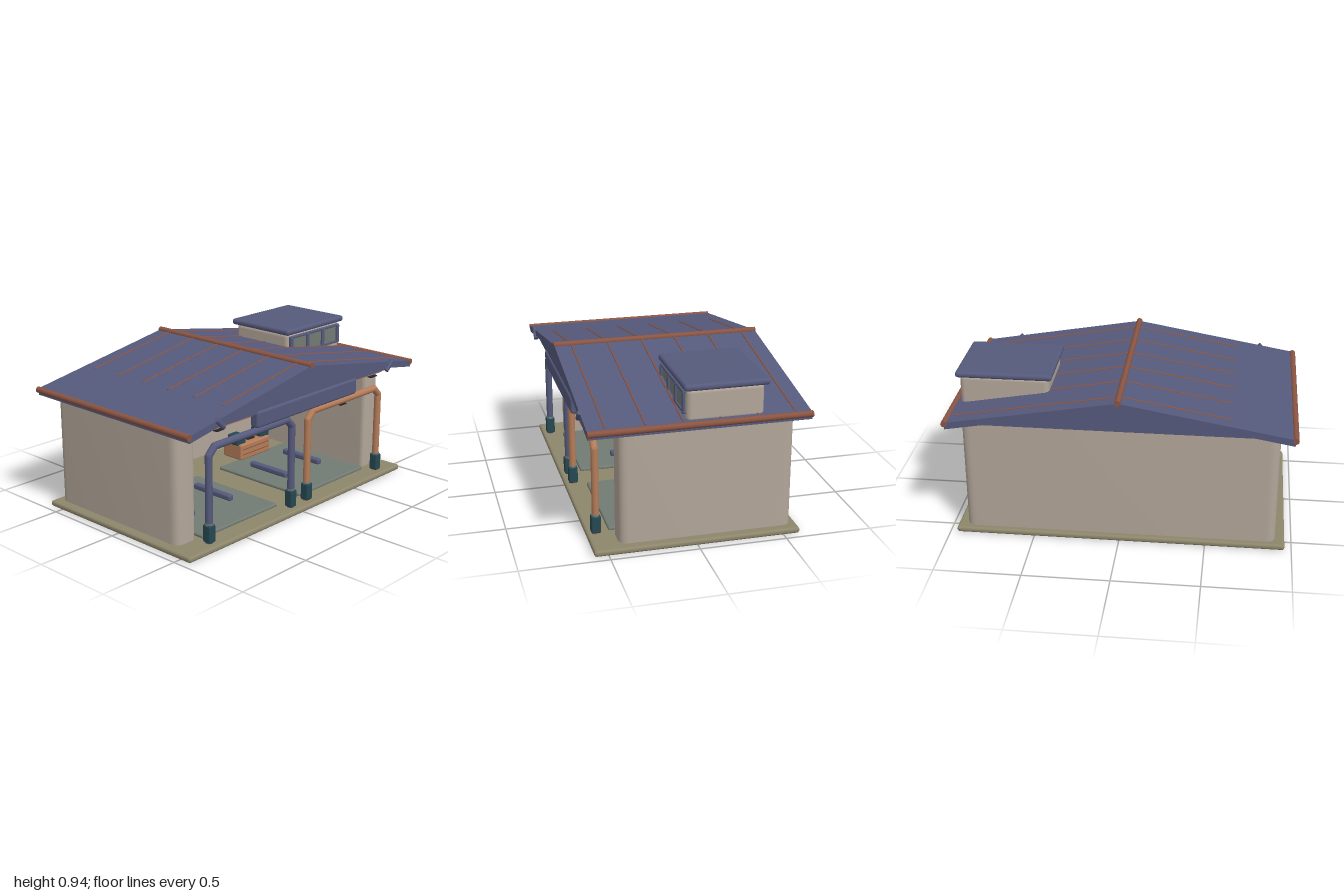
import * as THREE from 'three';
import { toCreasedNormals } from 'three/addons/utils/BufferGeometryUtils.js';
import { RoundedBoxGeometry } from 'three/addons/geometries/RoundedBoxGeometry.js';

const mat = (name, color) => Object.assign(new THREE.MeshStandardMaterial({ color }), { name });

export function createModel() {
  const model = new THREE.Group();
  model.name = 'twoBayGarage';
  const M = {
    wall: mat('warm stone', 0xb3a699),
    navy: mat('slate blue', 0x565a7c),
    copper: mat('copper', 0xb47c59),
    rust: mat('rust brown', 0x8a5442),
    teal: mat('dark teal', 0x264852),
    slab: mat('olive concrete', 0x8d866c),
    pad: mat('grey green', 0x717b73),
    dark: mat('near black', 0x25252c),
  };

  const add = (name, geo, material, parent = model) => {
    const mesh = new THREE.Mesh(geo, material);
    mesh.name = name;
    parent.add(mesh);
    return mesh;
  };
  // Rounded box given by its limits on each axis
  const box = (name, [x0, x1], [y0, y1], [z0, z1], r, material, parent) => {
    const s = [x1 - x0, y1 - y0, z1 - z0];
    const geo = r ? new RoundedBoxGeometry(...s, 3, r) : new THREE.BoxGeometry(...s);
    geo.translate((x0 + x1) / 2, (y0 + y1) / 2, (z0 + z1) / 2);
    return add(name, geo, material, parent);
  };
  // Round bar between two points
  const bar = (name, a, b, r, material, parent, sides = 16) => {
    const p = new THREE.Vector3(...a), q = new THREE.Vector3(...b);
    const mesh = add(name, new THREE.CylinderGeometry(r, r, p.distanceTo(q), sides), material, parent);
    mesh.position.copy(p).lerp(q, 0.5);
    mesh.quaternion.setFromUnitVectors(new THREE.Vector3(0, 1, 0), q.sub(p).normalize());
    return mesh;
  };
  const polygon = (pts) => new THREE.Shape(pts.map(([x, y]) => new THREE.Vector2(x, y)));
  const extrudeZ = (shape, z0, z1) =>
    new THREE.ExtrudeGeometry(shape, { depth: z1 - z0, bevelEnabled: false }).translate(0, 0, z0);

  box('floorSlab', [-0.96, 0.96], [0, 0.035], [-0.595, 0.58], 0.015, M.slab);

  // Walls: U-shaped plan with rounded outer corners, open to the front
  const W = 0.905, I = 0.76, F = 0.43, B = -0.56, R = 0.06;
  const plan = new THREE.Shape();
  plan.moveTo(-I, -F + 0.03);
  plan.quadraticCurveTo(-I, -F, -I - 0.03, -F);
  plan.lineTo(-W + R, -F);
  plan.quadraticCurveTo(-W, -F, -W, -F + R);
  plan.lineTo(-W, -B - R);
  plan.quadraticCurveTo(-W, -B, -W + R, -B);
  plan.lineTo(W - R, -B);
  plan.quadraticCurveTo(W, -B, W, -B - R);
  plan.lineTo(W, -F + R);
  plan.quadraticCurveTo(W, -F, W - R, -F);
  plan.lineTo(I + 0.03, -F);
  plan.quadraticCurveTo(I, -F, I, -F + 0.03);
  plan.lineTo(I, -B - 0.1);
  plan.lineTo(-I, -B - 0.1);
  const wallGeo = new THREE.ExtrudeGeometry(plan, { depth: 0.69, bevelEnabled: false, curveSegments: 8 });
  wallGeo.rotateX(-Math.PI / 2).translate(0, 0.03, 0);
  add('walls', toCreasedNormals(wallGeo, 0.6), M.wall);

  // Roof: pitched slab, gable body below it, ridge and eave pipes
  const roofY = (x) => 0.905 - 0.173 * Math.abs(x);
  const roof = new THREE.Group();
  roof.name = 'roof';
  model.add(roof);
  add('roofSlab', extrudeZ(polygon([
    [-0.98, 0.695], [0, 0.865], [0.98, 0.695], [0.98, 0.735], [0, 0.905], [-0.98, 0.735],
  ]), -0.625, 0.61), M.navy, roof);
  add('gable', extrudeZ(polygon([[-0.84, 0.72], [0.84, 0.72], [0, 0.866]]), -0.6, 0.59), M.navy, roof);
  bar('ridgePipe', [0, 0.905, -0.627], [0, 0.905, 0.612], 0.018, M.rust, roof);
  for (const s of [-1, 1]) bar('eavePipe', [s * 0.982, 0.727, -0.627], [s * 0.982, 0.727, 0.612], 0.018, M.rust, roof);

  // Thin standing seams on both slopes
  for (const z of [-0.535, -0.325, -0.115, 0.09, 0.295, 0.51])
    for (const end of [-0.63, 0.95])
      bar('roofSeam', [0, roofY(0), z], [end, roofY(end), z], 0.005, M.rust, roof, 8);

  // Front beam, lintel and corner braces
  box('lintel', [-0.76, 0.76], [0.695, 0.725], [0.5, 0.55], 0, M.copper);
  box('frontBeam', [-0.445, 0.445], [0.637, 0.735], [0.543, 0.6], 0.015, M.navy);
  for (const s of [-1, 1]) {
    bar('cornerBrace', [s * 0.78, 0.775, 0.61], [s * 0.725, 0.722, 0.61], 0.014, M.navy);
    box('lintelClip', [s * 0.685 - 0.03, s * 0.685 + 0.03], [0.677, 0.684], [0.52, 0.55], 0, M.dark);
  }

  // Rooftop lantern with a front window
  const lantern = new THREE.Group();
  lantern.name = 'roofLantern';
  model.add(lantern);
  box('lanternBody', [0.425, 0.945], [0.72, 0.915], [-0.365, 0.07], 0.03, M.wall, lantern);
  box('lanternLid', [0.405, 0.965], [0.905, 0.942], [-0.388, 0.088], 0.017, M.navy, lantern);
  box('lanternGlass', [0.44, 0.925], [0.775, 0.89], [0.068, 0.075], 0, M.pad, lantern);
  for (const x of [0.45, 0.61, 0.76, 0.913]) box('windowPost', [x - 0.012, x + 0.012], [0.77, 0.89], [0.065, 0.088], 0.006, M.navy, lantern);
  for (const y of [0.778, 0.887]) box('windowRail', [0.438, 0.925], [y - 0.008, y + 0.008], [0.065, 0.084], 0.005, M.navy, lantern);

  // Two bays: portal frame, floor pad and a low service unit
  const bay = (cx, frameMat) => {
    const g = new THREE.Group();
    g.name = cx < 0 ? 'rightBay' : 'leftBay';
    g.position.x = cx;
    model.add(g);

    const h = 0.343, z = 0.532;
    const pts = [[-h, 0.045], [-h, 0.55], [-h + 0.045, 0.595], [h - 0.045, 0.595], [h, 0.55], [h, 0.045]];
    for (let i = 0; i < 5; i++) bar('portalFrame', [...pts[i], z], [...pts[i + 1], z], 0.021, frameMat, g);
    for (const [x, y] of pts.slice(1, 5)) add('frameJoint', new THREE.SphereGeometry(0.021, 16, 10), frameMat, g).position.set(x, y, z);
    for (const s of [-1, 1]) {
      box('frameBoot', [s * h - 0.025, s * h + 0.025], [0.05, 0.155], [0.505, 0.56], 0.01, M.teal, g);
      bar('bootCollar', [s * h, 0.15, z], [s * h, 0.162, z], 0.024, M.pad, g);
    }
    box('frameClip', [-0.027, 0.027], [0.558, 0.564], [0.47, 0.53], 0, M.dark, g);

    box('floorPad', [-0.315, 0.315], [0.03, 0.053], [-0.21, 0.455], 0.01, M.pad, g);
    box('serviceUnit', [-0.14, 0.14], [0.05, 0.157], [-0.34, -0.18], 0.012, M.copper, g);
    for (const y of [0.085, 0.12]) box('unitGroove', [-0.125, 0.125], [y, y + 0.005], [-0.182, -0.177], 0, M.rust, g);
    for (const s of [-1, 1]) {
      box('guideRail', [s * 0.16 - 0.02, s * 0.16 + 0.02], [0.05, 0.087], [-0.07, 0.23], 0.012, M.navy, g);
      box('unitBuffer', [s * 0.113 - 0.042, s * 0.113 + 0.042], [0.15, 0.215], [-0.29, -0.2], 0.01, M.teal, g);
    }
  };
  bay(-0.418, M.navy);
  bay(0.413, M.copper);

  return model;
}
